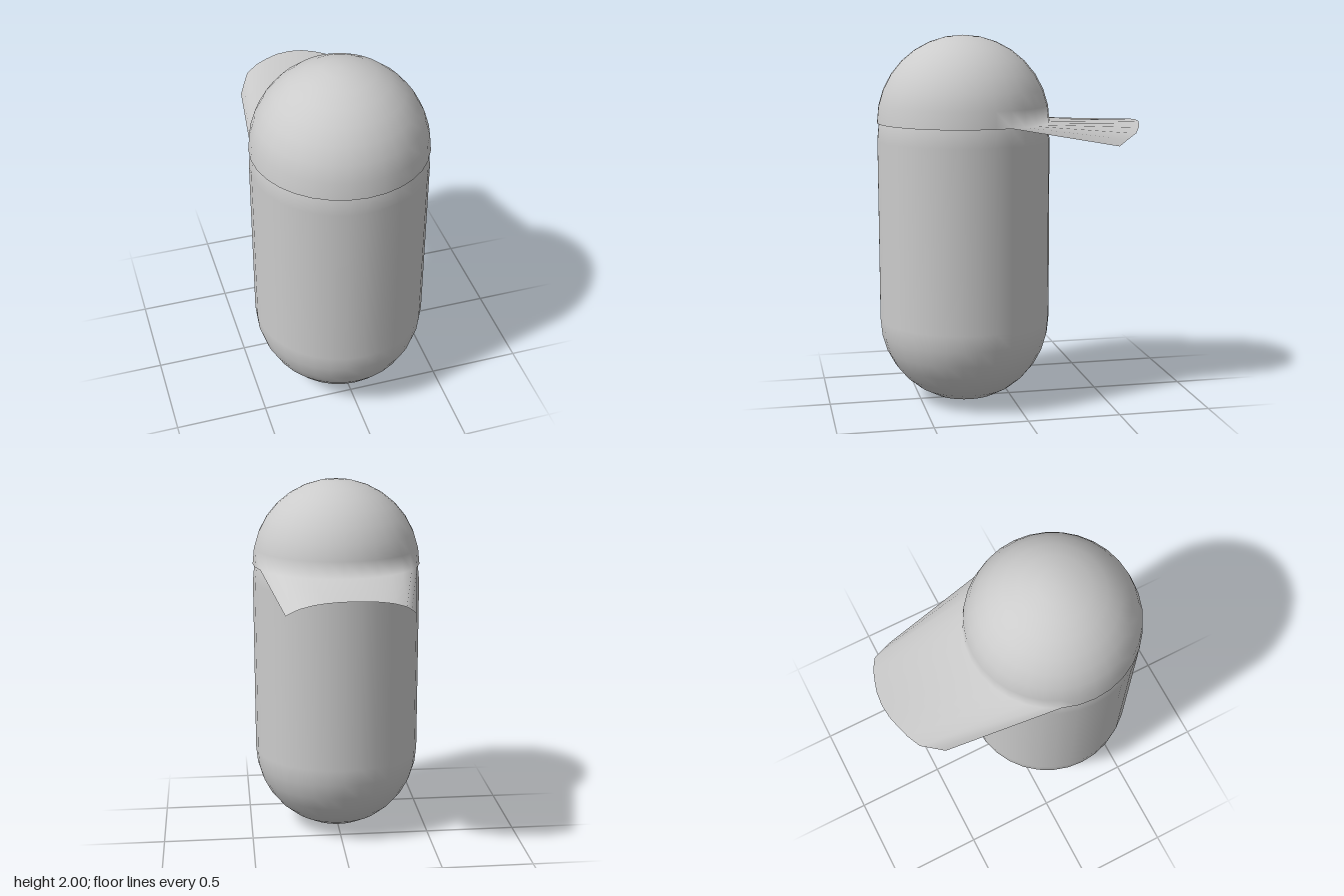
import * as THREE from 'three';
import { mergeGeometries, mergeVertices } from 'three/addons/utils/BufferGeometryUtils.js';

const R = 0.465, RIM_Y = 1.535, CZ = 0.25, SIDES = 32;

// Half of the brim's free edge, from the drooping corner to the centre: x, y, z
const EDGE = [
  [0.33, 1.42, -0.53], [0.298, 1.452, -0.585], [0.265, 1.48, -0.64], [0.2, 1.505, -0.675],
  [0.14, 1.518, -0.695], [0.075, 1.527, -0.713], [0, 1.53, -0.72],
];

// Arched visor strip between the dome rim and the free edge
function brimGeometry() {
  const mirrored = EDGE.slice(0, -1).reverse().map(([x, y, z]) => [-x, y, z]);
  const outer = [...EDGE, ...mirrored];
  const n = outer.length;
  const positions = [], index = [];
  for (let i = 0; i < n; i++) {
    const a = ((i + 2) / SIDES) * Math.PI * 2;
    positions.push(R * Math.cos(a), RIM_Y, CZ - R * Math.sin(a), ...outer[i]);
    if (i < n - 1) {
      const r = 2 * i;
      index.push(r, r + 1, r + 2, r + 1, r + 3, r + 2);
    }
  }
  const g = new THREE.BufferGeometry();
  g.setAttribute('position', new THREE.Float32BufferAttribute(positions, 3));
  g.setIndex(index);
  return g;
}

export function createModel() {
  const group = new THREE.Group();

  // Capsule body
  const body = new THREE.Mesh(
    new THREE.CapsuleGeometry(R, 1.44 - R, 8, SIDES),
    new THREE.MeshStandardMaterial({ color: 0xcccccc })
  );
  body.name = 'body';
  body.position.set(0, (1.44 + R) / 2, CZ);
  group.add(body);

  // Cap: open dome welded to the brim so the shading flows between them
  const dome = new THREE.SphereGeometry(R, SIDES, 8, 0, Math.PI * 2, 0, Math.PI / 2);
  dome.translate(0, RIM_Y, CZ);
  dome.deleteAttribute('uv');
  dome.deleteAttribute('normal');
  const capGeometry = mergeVertices(mergeGeometries([dome, brimGeometry()]), 1e-4);
  capGeometry.computeVertexNormals();
  const cap = new THREE.Mesh(
    capGeometry,
    new THREE.MeshStandardMaterial({ color: 0xcccccc, side: THREE.DoubleSide })
  );
  cap.name = 'cap';
  group.add(cap);

  return group;
}
